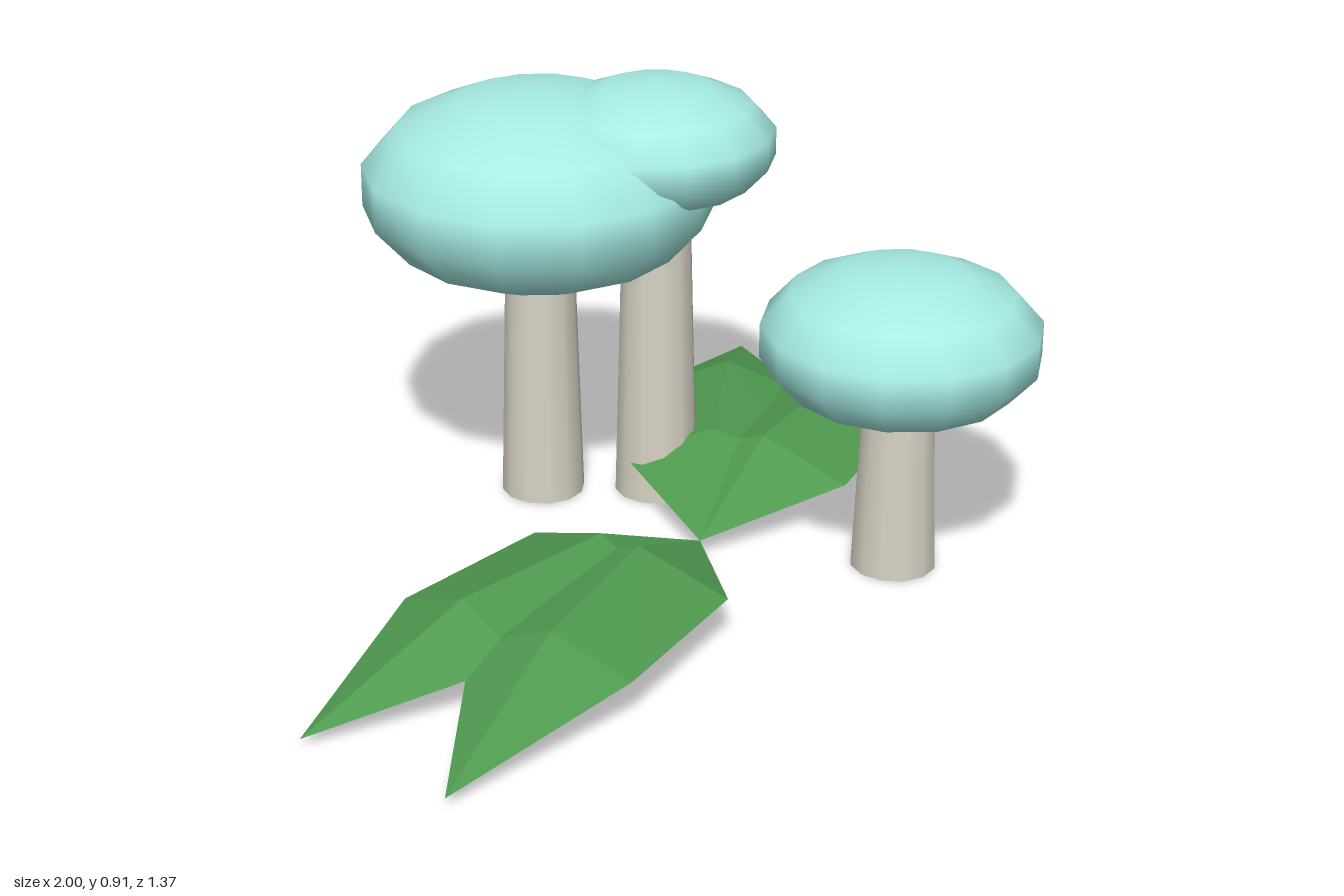
import * as THREE from 'three';

const capMaterial = new THREE.MeshStandardMaterial({ color: 0xa6ece4 });
const stemMaterial = new THREE.MeshStandardMaterial({ color: 0xd8d2c4 });
const leafMaterial = new THREE.MeshStandardMaterial({
  color: 0x4f9a50, flatShading: true, side: THREE.DoubleSide,
});

// Tapered stem under a flattened low-poly ball cap
function createMushroom(name, x, z, capY, capRadius, capHalfHeight) {
  const mushroom = new THREE.Group();
  mushroom.name = name;
  mushroom.position.set(x, 0, z);

  const stemGeometry = new THREE.CylinderGeometry(0.068, 0.088, capY, 12);
  stemGeometry.translate(0, capY / 2, 0);
  const stem = new THREE.Mesh(stemGeometry, stemMaterial);
  stem.name = 'stem';

  const capGeometry = new THREE.SphereGeometry(1, 14, 7);
  capGeometry.rotateY(Math.PI / 2);
  capGeometry.scale(capRadius, capHalfHeight, capRadius);
  const cap = new THREE.Mesh(capGeometry, capMaterial);
  cap.name = 'cap';
  cap.position.y = capY;

  mushroom.add(stem, cap);
  return mushroom;
}

// Folded leaf along +x: sections of [distance, ridge height, edge height, half width]
const leafSections = [
  [0, 0.04, 0.04, 0],
  [0.27, 0.16, 0.09, 0.192],
  [0.62, 0.155, 0.09, 0.167],
  [1, 0.02, 0.02, 0],
];

function createLeafGeometry(length) {
  const positions = [];
  const index = [];
  leafSections.forEach(([t, ridge, edge, half], i) => {
    const d = t * length;
    positions.push(d, edge, -half, d, ridge, 0, d, edge, half);
    if (i === 0) return;
    for (const side of [0, 1]) {
      const a = (i - 1) * 3 + side;
      const b = a + 3;
      if (i === 1) index.push(a, b + 1, b);
      else if (i === leafSections.length - 1) index.push(a, a + 1, b);
      else index.push(a, a + 1, b, a + 1, b + 1, b);
    }
  });
  const geometry = new THREE.BufferGeometry();
  geometry.setAttribute('position', new THREE.Float32BufferAttribute(positions, 3));
  geometry.setIndex(index);
  geometry.computeVertexNormals();
  return geometry;
}

export function createModel() {
  const model = new THREE.Group();
  model.name = 'mushroomCluster';

  // Three mushrooms
  model.add(
    createMushroom('largeMushroom', -0.01, -0.325, 0.692, 0.372, 0.203),
    createMushroom('tallMushroom', 0.175, -0.17, 0.783, 0.25, 0.131),
    createMushroom('smallMushroom', 0.322, 0.402, 0.494, 0.287, 0.157),
  );

  // Two pairs of leaves fanning out from one root
  const root = [0.03, 0.14];
  const tips = [[-1, 0.225], [-0.915, 0.55], [1, -0.23], [0.778, -0.57]];
  tips.forEach(([x, z], i) => {
    const dx = x - root[0];
    const dz = z - root[1];
    const leaf = new THREE.Mesh(createLeafGeometry(Math.hypot(dx, dz)), leafMaterial);
    leaf.name = `leaf${i + 1}`;
    leaf.position.set(root[0], 0, root[1]);
    leaf.rotation.y = Math.atan2(-dz, dx);
    model.add(leaf);
  });

  return model;
}
